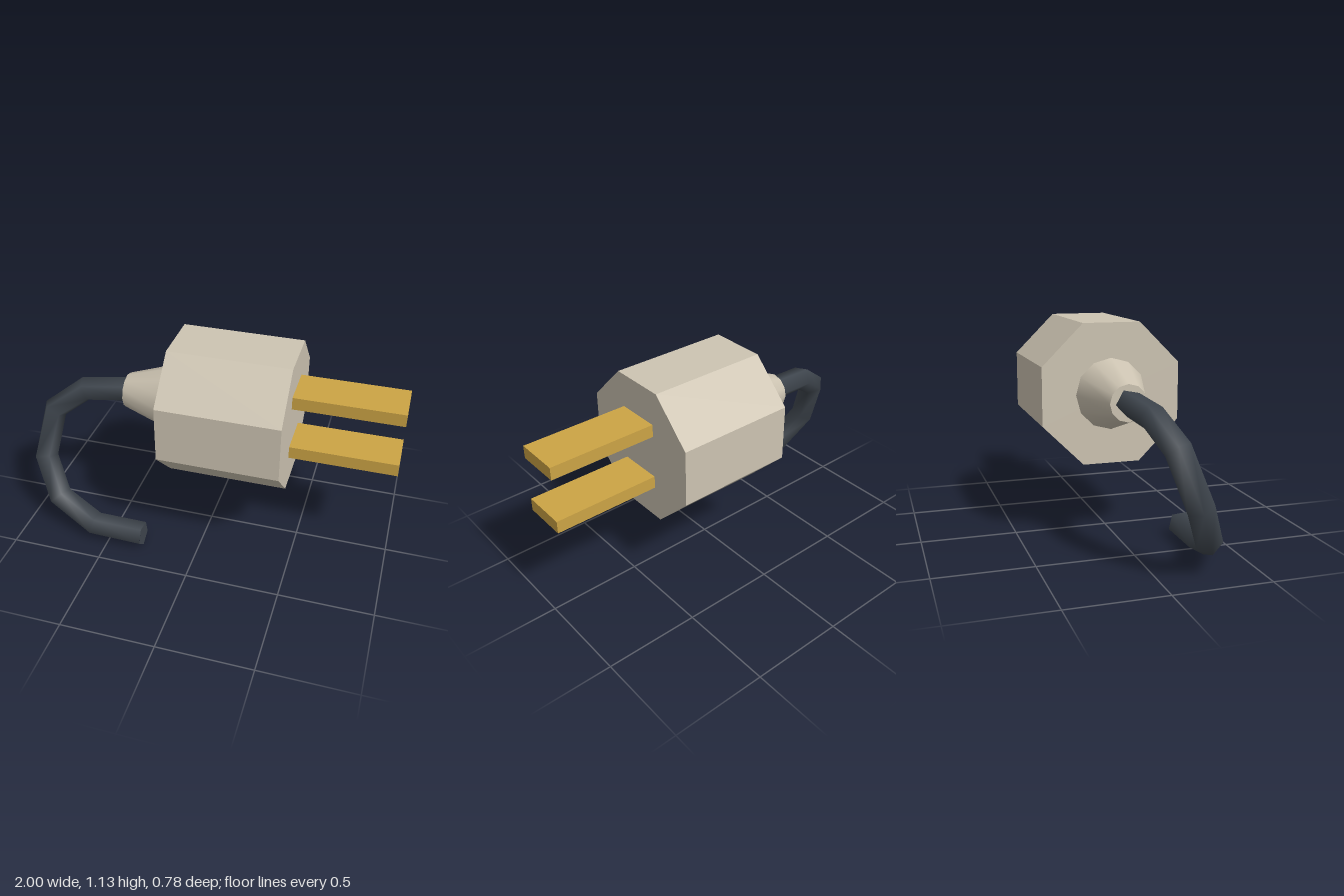
import * as THREE from 'three';
import { toCreasedNormals } from 'three/addons/utils/BufferGeometryUtils.js';

const AXIS_Y = 0.767, AXIS_Z = -0.028;
const CORD_SIDES = 5, CORD_RADIUS = 0.068, CORD_TWIST = 0.225;

// Cord path that visits each listed point exactly, giving crisp bends
class CordPath extends THREE.Curve {
  constructor(points) {
    super();
    this.points = points.map(p => new THREE.Vector3(...p));
  }
  getPoint(t, target = new THREE.Vector3()) {
    return target.copy(this.points[Math.round(t * (this.points.length - 1))]);
  }
  getPointAt(u, target) {
    return this.getPoint(u, target);
  }
  // Bisecting tangents, with the side direction carried along the path
  computeFrenetFrames() {
    const pts = this.points, tangents = [], normals = [], binormals = [];
    const unit = (a, b) => b.clone().sub(a).normalize();
    let normal = new THREE.Vector3(0, Math.sin(CORD_TWIST), -Math.cos(CORD_TWIST));
    pts.forEach((p, i) => {
      const t = new THREE.Vector3();
      if (i > 0) t.add(unit(pts[i - 1], p));
      if (i < pts.length - 1) t.add(unit(p, pts[i + 1]));
      t.normalize();
      normal = normal.clone().addScaledVector(t, -normal.dot(t)).normalize();
      tangents.push(t);
      normals.push(normal);
      binormals.push(t.clone().cross(normal));
    });
    return { tangents, normals, binormals };
  }
}

export function createModel() {
  const group = new THREE.Group();
  const material = (name, color) => {
    const m = new THREE.MeshStandardMaterial({ color });
    m.name = name;
    return m;
  };
  const cream = material('cream plastic', 0xcdc4b2);
  const brass = material('brass', 0xcca445);
  const rubber = material('dark rubber', 0x3f464e);

  const add = (name, geometry, mat, x, y, z) => {
    const mesh = new THREE.Mesh(geometry, mat);
    mesh.name = name;
    mesh.position.set(x, y, z);
    group.add(mesh);
    return mesh;
  };

  // Octagonal plug body, flat faced, lying along x
  const body = new THREE.CylinderGeometry(0.394, 0.394, 0.64, 8, 1, false, Math.PI / 8);
  body.rotateZ(-Math.PI / 2);
  add('plugBody', toCreasedNormals(body, 0.3), cream, 0.12, AXIS_Y, -0.025);

  // Tapered strain relief behind the body
  const collar = new THREE.CylinderGeometry(0.185, 0.094, 0.28, 12);
  collar.rotateZ(-Math.PI / 2);
  add('strainRelief', collar, cream, -0.34, AXIS_Y, AXIS_Z);

  // Two flat contact prongs
  [['upperProng', 0.917], ['lowerProng', 0.617]].forEach(([name, y]) =>
    add(name, new THREE.BoxGeometry(0.56, 0.067, 0.233), brass, 0.72, y, -0.024));

  // Cord curling from its free end back up into the strain relief
  const end = [-0.3, 0.068, 0.325];
  const path = new CordPath([
    end,
    [-0.585, 0.07, 0.322],
    [-0.825, 0.16, 0.25],
    [-0.935, 0.365, 0.155],
    [-0.89, 0.625, 0.06],
    [-0.72, 0.745, 0],
    [-0.45, 0.772, AXIS_Z],
  ]);
  add('cord', new THREE.TubeGeometry(path, path.points.length - 1, CORD_RADIUS, CORD_SIDES),
    rubber, 0, 0, 0);

  // Cap closing the free end
  const cap = new THREE.CircleGeometry(CORD_RADIUS, CORD_SIDES, Math.PI + CORD_TWIST);
  cap.rotateY(Math.PI / 2);
  add('cordEnd', cap, rubber, ...end);

  return group;
}
